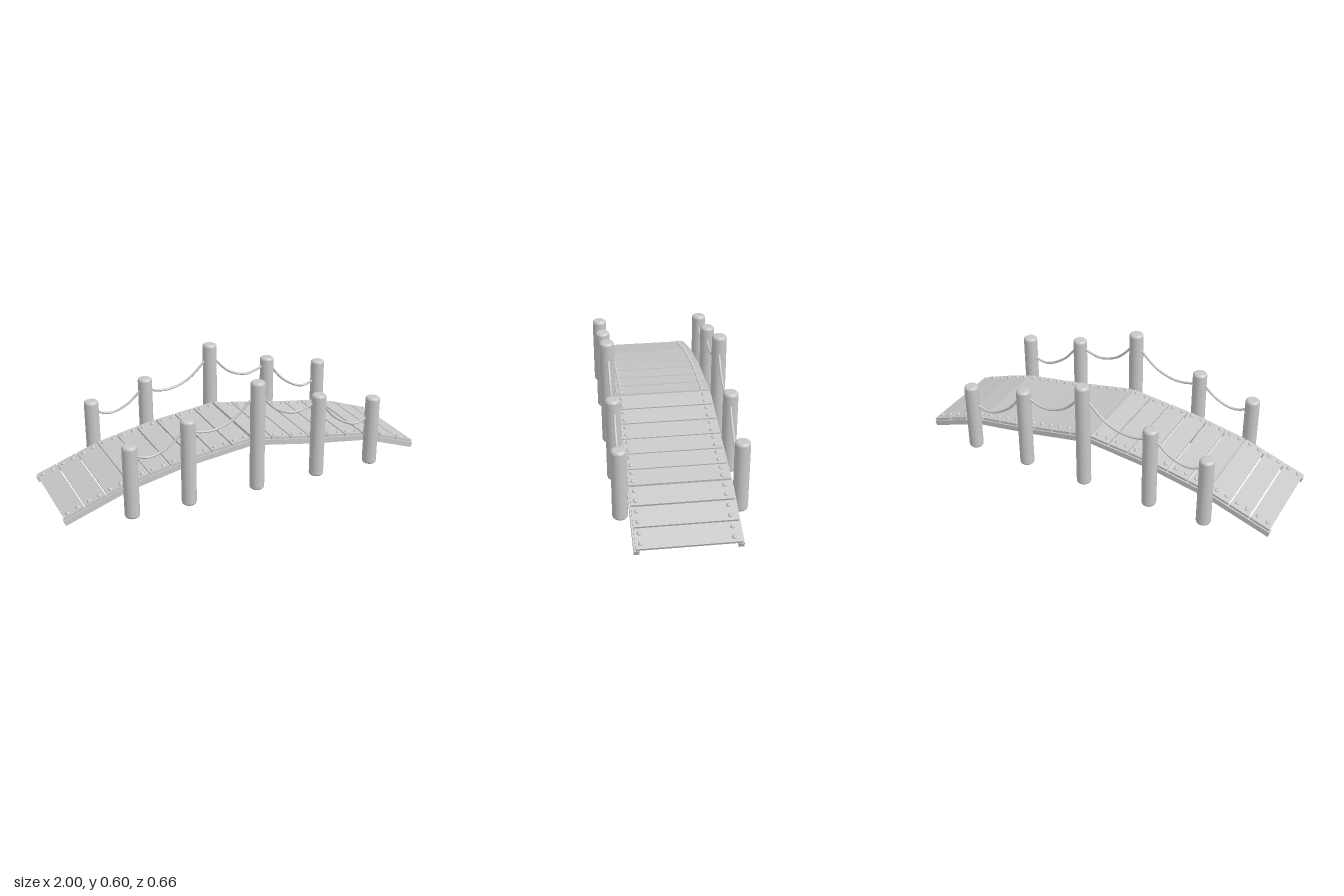
import * as THREE from 'three';

export function createModel() {
  const model = new THREE.Group();
  model.name = 'footbridge';
  const grey = new THREE.MeshStandardMaterial({ color: 0xc8c8c8 });
  grey.name = 'plain grey';

  const add = (parent, geometry, name, x = 0, y = 0, z = 0) => {
    const mesh = new THREE.Mesh(geometry, grey);
    mesh.name = name;
    mesh.position.set(x, y, z);
    parent.add(mesh);
    return mesh;
  };

  // Centre line of the supporting beams, one kink at every pair of posts
  const path = [[-0.995, 0.023], [-0.67, 0.137], [-0.37, 0.2], [0.005, 0.243],
    [0.36, 0.178], [0.69, 0.13], [0.99, 0.023]];
  const heightAt = (x) => {
    let i = 0;
    while (i < path.length - 2 && x > path[i + 1][0]) i++;
    const [x0, y0] = path[i], [x1, y1] = path[i + 1];
    return y0 + (y1 - y0) * (x - x0) / (x1 - x0);
  };

  // A group lying along the chord between two points
  const chord = (name, x0, y0, x1, y1) => {
    const g = new THREE.Group();
    g.name = name;
    g.position.set((x0 + x1) / 2, (y0 + y1) / 2, 0);
    g.rotation.z = Math.atan2(y1 - y0, x1 - x0);
    model.add(g);
    return [g, Math.hypot(x1 - x0, y1 - y0)];
  };

  // Frames: two side beams and two end beams for each span
  for (let i = 0; i < path.length - 1; i++) {
    const [frame, len] = chord('frame', ...path[i], ...path[i + 1]);
    for (const s of [-1, 1]) {
      add(frame, new THREE.BoxGeometry(len + 0.006, 0.028, 0.026), 'sideBeam', 0, 0, s * 0.241);
      const outer = (i === 0 && s < 0) || (i === path.length - 2 && s > 0);
      if (!outer) add(frame, new THREE.BoxGeometry(0.024, 0.024, 0.46), 'crossBeam', s * (len / 2 - 0.016));
    }
  }

  // Planks with two domed nails at each end
  const nail = new THREE.SphereGeometry(0.0115, 12, 6, 0, Math.PI * 2, 0, Math.PI / 2);
  const count = 18, pitch = 1.986 / count;
  for (let i = 0; i < count; i++) {
    const x0 = -0.993 + i * pitch, x1 = x0 + pitch;
    const [board, len] = chord('plank', x0, heightAt(x0), x1, heightAt(x1));
    add(board, new THREE.BoxGeometry(len - 0.007, 0.013, 0.492), 'board', 0, 0.0205, 0);
    for (const x of [-0.028, 0.028]) {
      for (const z of [-0.21, 0.222]) add(board, nail, 'nail', x, 0.026, z);
    }
  }

  // Round posts with softened ends
  const postZ = 0.291, r = 0.038, bevel = 0.016;
  const postGeometry = (h) => {
    const pts = [new THREE.Vector2(0, 0)];
    for (let k = 0; k <= 5; k++) {
      const a = k / 5 * Math.PI / 2;
      pts.push(new THREE.Vector2(r - bevel + bevel * Math.sin(a), bevel - bevel * Math.cos(a)));
    }
    for (let k = 0; k <= 5; k++) {
      const a = k / 5 * Math.PI / 2;
      pts.push(new THREE.Vector2(r - bevel + bevel * Math.cos(a), h - bevel + bevel * Math.sin(a)));
    }
    pts.push(new THREE.Vector2(0, h));
    return new THREE.LatheGeometry(pts, 28);
  };
  const posts = [[-0.67, 0.388], [-0.368, 0.463], [0.01, 0.596], [0.36, 0.463], [0.69, 0.388]];

  // Sagging ropes between neighbouring posts
  const ropes = [
    [[-0.67, 0.36], [-0.63, 0.318], [-0.56, 0.302], [-0.47, 0.335], [-0.405, 0.39], [-0.37, 0.425]],
    [[-0.37, 0.41], [-0.33, 0.388], [-0.235, 0.376], [-0.125, 0.412], [-0.03, 0.495], [0.0, 0.53]],
    [[0.02, 0.53], [0.045, 0.495], [0.125, 0.418], [0.23, 0.385], [0.32, 0.41], [0.36, 0.435]],
    [[0.36, 0.44], [0.395, 0.39], [0.465, 0.31], [0.58, 0.25], [0.65, 0.265], [0.69, 0.295]],
  ];
  for (const s of [-1, 1]) {
    for (const [x, h] of posts) add(model, postGeometry(h), 'post', x, 0, s * postZ);
    for (const pts of ropes) {
      const curve = new THREE.CatmullRomCurve3(pts.map(([x, y]) => new THREE.Vector3(x, y, s * 0.286)));
      add(model, new THREE.TubeGeometry(curve, 36, 0.0065, 10), 'rope');
    }
  }
  return model;
}
